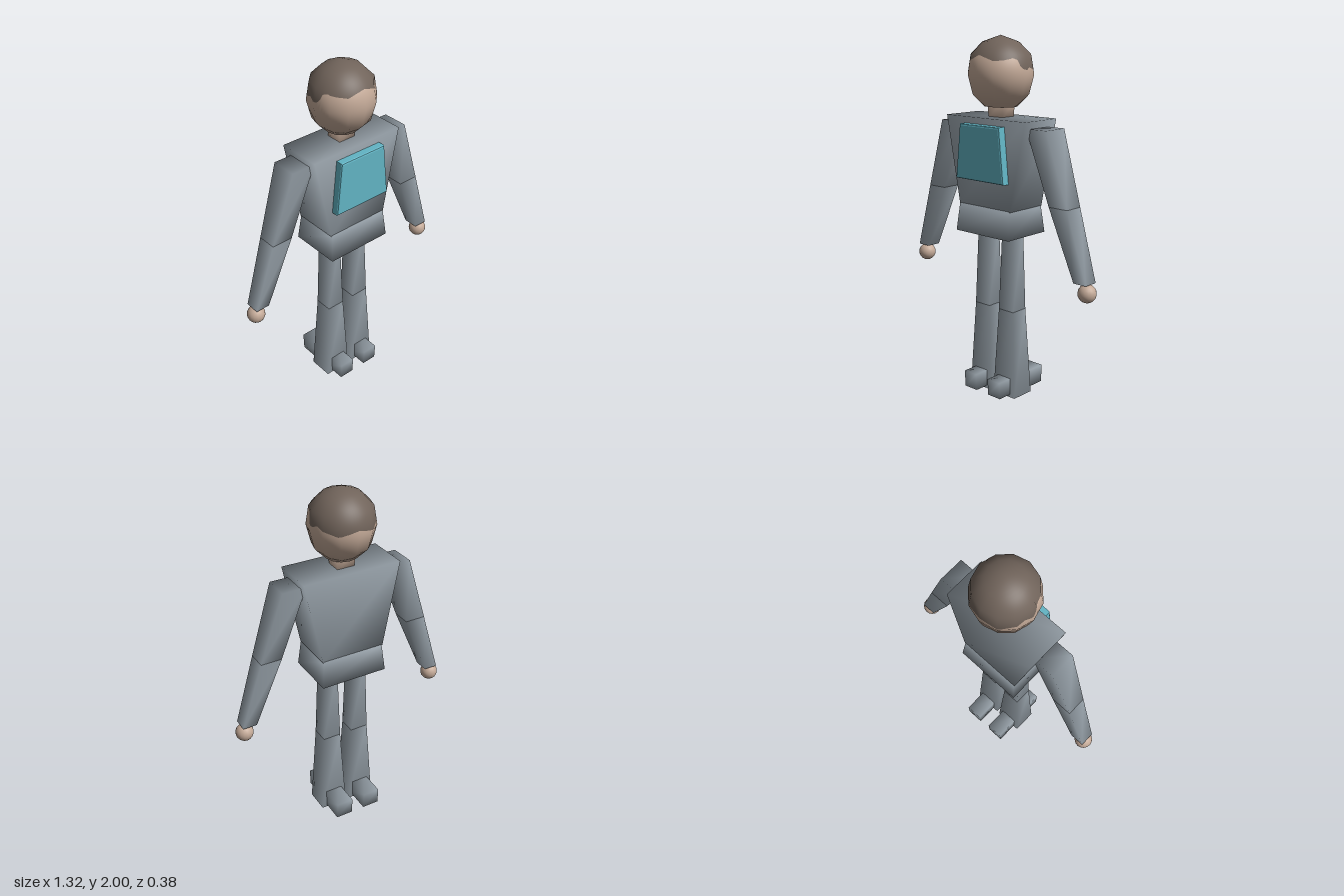
import * as THREE from 'three';
import { mergeVertices } from 'three/addons/utils/BufferGeometryUtils.js';

const material = (name, color) => {
  const m = new THREE.MeshStandardMaterial({ color });
  m.name = name;
  return m;
};

export function createModel() {
  const model = new THREE.Group();
  model.name = 'figure';
  const suit = material('suit grey', 0x929ca4);
  const teal = material('panel teal', 0x62b4c4);
  const skin = material('skin', 0xc4aa98);
  const brown = material('hair brown', 0x70635a);

  const add = (name, geometry, mat, parent = model) => {
    const mesh = new THREE.Mesh(geometry, mat);
    mesh.name = name;
    parent.add(mesh);
    return mesh;
  };

  // Tapered box with soft normals; each end is [xCentre, xHalf, zFront, zBack]
  const block = (name, y0, bottom, y1, top, mat = suit, parent = model) => {
    let g = new THREE.BoxGeometry(2, 2, 2);
    g.deleteAttribute('uv');
    g.deleteAttribute('normal');
    g = mergeVertices(g);
    const p = g.attributes.position;
    for (let i = 0; i < p.count; i++) {
      const up = p.getY(i) > 0;
      const [cx, hx, zf, zb] = up ? top : bottom;
      p.setXYZ(i, cx + hx * p.getX(i), up ? y1 : y0, p.getZ(i) > 0 ? zf : zb);
    }
    g.computeVertexNormals();
    return add(name, g, mat, parent);
  };

  // Trunk
  block('chest', 1.085, [0, 0.185, 0.14, -0.12], 1.57, [0, 0.285, 0.135, -0.115]);
  block('pelvis', 0.935, [0, 0.195, 0.16, -0.137], 1.09, [0, 0.18, 0.145, -0.12]);
  block('neck', 1.56, [0, 0.05, 0.05, -0.04], 1.66, [0, 0.056, 0.055, -0.045], skin);

  // Chest panel with a bevelled rim
  const outline = new THREE.Shape([
    [-0.165, 1.245], [0.165, 1.245], [0.135, 1.525], [-0.135, 1.525],
  ].map(([x, y]) => new THREE.Vector2(x, y)));
  const panel = add('chestPanel', new THREE.ExtrudeGeometry(outline, {
    depth: 0.035, bevelEnabled: true, bevelSize: 0.01, bevelThickness: 0.008, bevelSegments: 2,
  }), teal);
  panel.position.z = 0.137;

  // Limbs, mirrored
  for (const [side, s] of [['left', 1], ['right', -1]]) {
    const arm = new THREE.Group();
    arm.name = side + 'Arm';
    model.add(arm);
    const elbow = [s * 0.45, 0.06, 0.065, -0.045];
    block(side + 'UpperArm', 1.135, elbow, 1.53, [s * 0.313, 0.067, 0.083, -0.065], suit, arm);
    block(side + 'Forearm', 0.755, [s * 0.59, 0.04, 0.052, -0.032], 1.135, elbow, suit, arm);
    const hand = add(side + 'Hand', new THREE.SphereGeometry(0.05, 16, 12), skin, arm);
    hand.position.set(s * 0.608, 0.703, 0.01);

    const leg = new THREE.Group();
    leg.name = side + 'Leg';
    model.add(leg);
    const knee = [s * 0.09, 0.053, 0.063, -0.04];
    block(side + 'Thigh', 0.5, knee, 0.95, [s * 0.09, 0.04, 0.05, -0.033], suit, leg);
    block(side + 'Shin', 0, [s * 0.09, 0.08, 0.08, -0.06], 0.5, knee, suit, leg);
    block(side + 'Toe', 0.015, [s * 0.09, 0.045, 0.162, 0.03], 0.11, [s * 0.09, 0.045, 0.167, 0.03], suit, leg);
    block(side + 'Heel', 0.012, [s * 0.09, 0.05, -0.02, -0.187], 0.112, [s * 0.09, 0.05, -0.02, -0.193], suit, leg);
  }

  // Head profile as [radius, height], from chin to crown
  const profile = [[0, 1.615], [0.085, 1.62], [0.155, 1.69], [0.182, 1.795],
    [0.165, 1.9], [0.1, 1.965], [0, 2]];
  // Hairline as [degrees from the front, height]
  const hairline = [[0, 1.9], [15, 1.885], [30, 1.87], [50, 1.875], [65, 1.885], [75, 1.875],
    [82, 1.83], [95, 1.822], [105, 1.835], [120, 1.82], [145, 1.8], [165, 1.812], [180, 1.825]];
  const lookUp = (table, key, value, k) => {
    let i = 1;
    while (i < table.length - 1 && table[i][key] < k) i++;
    const a = table[i - 1], b = table[i];
    return a[value] + (b[value] - a[value]) * (k - a[key]) / (b[key] - a[key]);
  };
  const hairAt = (a) => lookUp(hairline, 0, 1, Math.abs(a) * 180 / Math.PI);

  // Section of the twelve-sided head between two heights that vary with angle
  const headSection = (lowAt, highAt) => {
    const cols = 72, rows = 24, pos = [], nor = [], index = [];
    for (let j = 0; j <= rows; j++) {
      for (let i = 0; i <= cols; i++) {
        const a = (i / cols) * 2 * Math.PI - Math.PI;
        const y = THREE.MathUtils.lerp(lowAt(a), highAt(a), j / rows);
        const wedge = Math.PI / 6;
        const within = (a + 2 * Math.PI + 1e-9) % wedge;
        const r = lookUp(profile, 1, 0, y) * Math.cos(wedge / 2) / Math.cos(within - wedge / 2);
        const v = new THREE.Vector3(r * Math.sin(a), y - 1.807, r * Math.cos(a));
        pos.push(v.x, y, v.z + 0.008);
        nor.push(...v.normalize().toArray());
        if (i < cols && j < rows) {
          const k = j * (cols + 1) + i, n = k + cols + 1;
          index.push(k, k + 1, n + 1, k, n + 1, n);
        }
      }
    }
    const g = new THREE.BufferGeometry();
    g.setAttribute('position', new THREE.Float32BufferAttribute(pos, 3));
    g.setAttribute('normal', new THREE.Float32BufferAttribute(nor, 3));
    g.setIndex(index);
    return g;
  };
  add('face', headSection(() => 1.615, hairAt), skin);
  add('hair', headSection(hairAt, () => 2), brown);

  return model;
}
